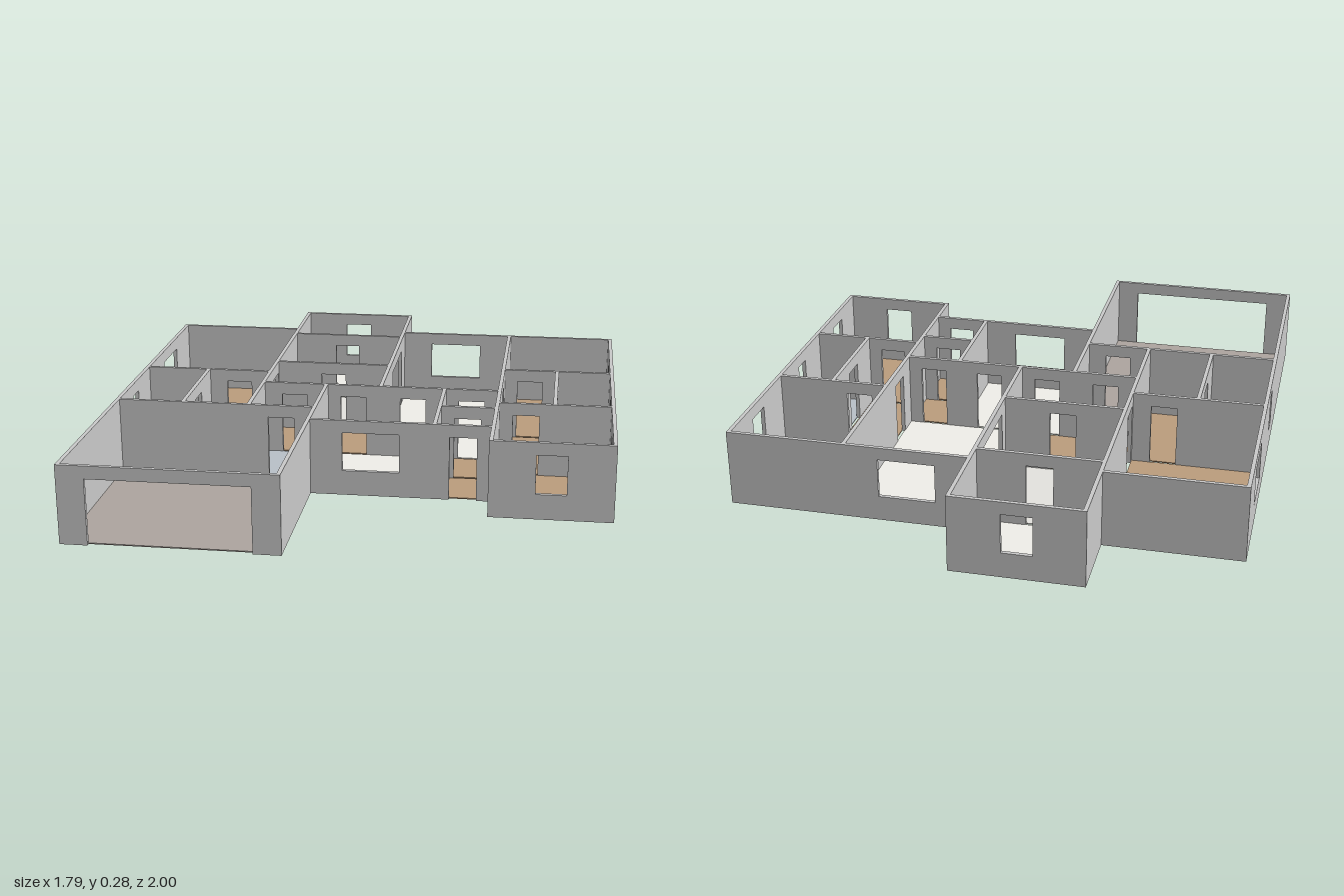
import * as THREE from 'three';

const HEIGHT = 0.275, LINTEL = 0.23, SILL = 0.09, T = 0.014, FLOOR = 0.004;
const wallMaterial = new THREE.MeshStandardMaterial({ color: 0xcccccc });

// openings are [centre, width, sill]
const door = (c, w = 0.095) => [c, w, 0];
const win = (c, w = 0.105) => [c, w, SILL];

// Wall panel in the XY plane: doors notch the outline, windows are holes
function wallGeometry(a, b, openings) {
  const start = a - T / 2, end = b + T / 2;
  const shape = new THREE.Shape();
  shape.moveTo(start, 0);
  for (const [c, w, sill] of [...openings].sort((p, q) => p[0] - q[0])) {
    const l = c - w / 2, r = c + w / 2;
    if (sill === 0) {
      shape.lineTo(l, 0);
      shape.lineTo(l, LINTEL);
      shape.lineTo(r, LINTEL);
      shape.lineTo(r, 0);
    } else {
      const hole = new THREE.Path();
      hole.moveTo(l, sill);
      hole.lineTo(l, LINTEL);
      hole.lineTo(r, LINTEL);
      hole.lineTo(r, sill);
      hole.closePath();
      shape.holes.push(hole);
    }
  }
  shape.lineTo(end, 0);
  shape.lineTo(end, HEIGHT);
  shape.lineTo(start, HEIGHT);
  shape.closePath();
  return new THREE.ExtrudeGeometry(shape, { depth: T, bevelEnabled: false }).translate(0, 0, -T / 2);
}

// Walls running along x: [name, z, x0, x1, openings]
const crossWalls = [
  ['backRoomRearWall', -0.993, -0.409, 0.029, [win(-0.19)]],
  ['backRoomInnerWall', -0.655, -0.409, 0.029, [door(-0.19)]],
  ['mainBedroomRearWall', -0.724, -0.89, -0.409, []],
  ['livingRearWall', -0.724, 0.034, 0.887, [win(0.255, 0.2)]],
  ['kitchenHallWall', -0.242, -0.409, 0.034, [door(-0.185)]],
  ['rearBedroomHallWall', -0.242, 0.475, 0.887, [door(0.578)]],
  ['mainBedroomFrontWall', -0.105, -0.89, -0.409, [door(-0.53)]],
  ['middleWall', 0.031, -0.409, 0.475, [door(-0.29), door(-0.0675), door(0.155), door(0.3725)]],
  ['frontBedroomHallWall', 0.17, 0.475, 0.887, [door(0.578)]],
  ['vestibuleWall', 0.235, 0.272, 0.475, [door(0.3725)]],
  ['garageRearWall', 0.305, -0.89, -0.17, [door(-0.29)]],
  ['entranceWall', 0.439, -0.17, 0.475, [win(0.05, 0.2), door(0.3725)]],
  ['frontBedroomFrontWall', 0.581, 0.475, 0.887, [win(0.68)]],
  ['garageFrontWall', 0.993, -0.89, -0.17, [door(-0.53, 0.545)]],
];

// Walls running along z: [name, x, z0, z1, openings]
const longWalls = [
  ['outerRightWall', -0.89, -0.724, 0.993, [win(-0.41, 0.2), win(0.1, 0.07)]],
  ['closetWall', -0.65, -0.105, 0.305, [door(0.1)]],
  ['mainBedroomSideWall', -0.409, -0.993, 0.305, [door(-0.175)]],
  ['garageSideWall', -0.17, 0.031, 0.993, []],
  ['livingSideWall', 0.034, -0.993, 0.031, [door(-0.447, 0.3)]],
  ['vestibuleSideWall', 0.272, 0.031, 0.439, []],
  ['bedroomWingWall', 0.475, -0.724, 0.581, [door(-0.105)]],
  ['bathroomWall', 0.68, -0.242, 0.17, [door(-0.035)]],
  ['outerLeftWall', 0.887, -0.724, 0.581, [win(-0.478), win(-0.033, 0.07), win(0.378)]],
];

const WOOD = 0xbd9e7e, PALE = 0xf2f1eb, STONE = 0xe6e5e0, TILE = 0xbac2ca, CONCRETE = 0xaea6a0;

// Floors: [name, x0, x1, z0, z1, color]
const floors = [
  ['mainBedroomFloor', -0.885, -0.415, -0.72, -0.11, WOOD],
  ['backRoomFloor', -0.403, 0.023, -0.987, -0.66, PALE],
  ['kitchenFloor', -0.403, 0.028, -0.65, -0.247, STONE],
  ['hallFloor', -0.403, 0.028, -0.237, 0.026, WOOD],
  ['livingFloor', 0.04, 0.47, -0.72, 0.026, PALE],
  ['rearBedroomFloor', 0.481, 0.881, -0.72, -0.247, WOOD],
  ['wingHallFloor', 0.481, 0.675, -0.237, 0.165, WOOD],
  ['wingBathroomFloor', 0.685, 0.881, -0.237, 0.165, TILE],
  ['frontBedroomFloor', 0.481, 0.881, 0.175, 0.575, WOOD],
  ['passageFloor', 0.277, 0.47, 0.036, 0.23, WOOD],
  ['vestibuleFloor', 0.277, 0.47, 0.24, 0.434, WOOD],
  ['loungeFloor', -0.165, 0.267, 0.036, 0.434, PALE],
  ['utilityFloor', -0.404, -0.175, 0.036, 0.3, TILE],
  ['closetFloor', -0.645, -0.414, -0.1, 0.3, WOOD],
  ['mainBathroomFloor', -0.885, -0.655, -0.1, 0.3, TILE],
  ['garageFloor', -0.885, -0.175, 0.31, 0.987, CONCRETE],
];

export function createModel() {
  const house = new THREE.Group();
  house.name = 'housePlan';

  for (const [name, z, x0, x1, openings] of crossWalls) {
    const wall = new THREE.Mesh(wallGeometry(x0, x1, openings), wallMaterial);
    wall.name = name;
    wall.position.z = z;
    house.add(wall);
  }

  // Turned so that the panel's local x runs along +z
  for (const [name, x, z0, z1, openings] of longWalls) {
    const wall = new THREE.Mesh(wallGeometry(z0, z1, openings), wallMaterial);
    wall.name = name;
    wall.rotation.y = -Math.PI / 2;
    wall.position.x = x;
    house.add(wall);
  }

  for (const [name, x0, x1, z0, z1, color] of floors) {
    const floor = new THREE.Mesh(
      new THREE.BoxGeometry(x1 - x0, FLOOR, z1 - z0),
      new THREE.MeshStandardMaterial({ color })
    );
    floor.name = name;
    floor.position.set((x0 + x1) / 2, FLOOR / 2, (z0 + z1) / 2);
    house.add(floor);
  }
  return house;
}
